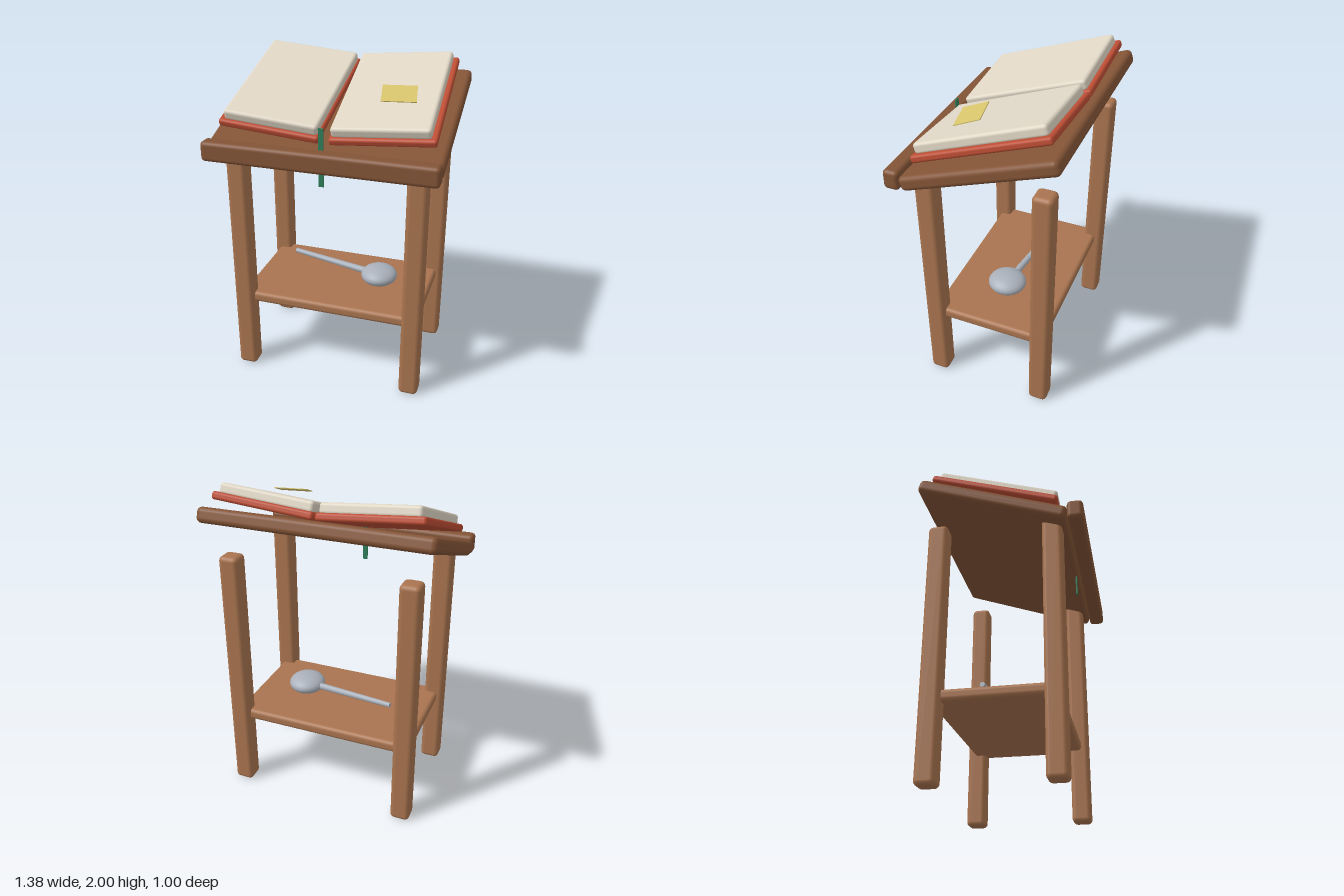
import * as THREE from 'three';
import { RoundedBoxGeometry } from 'three/addons/geometries/RoundedBoxGeometry.js';

const mat = (name, color) => {
  const m = new THREE.MeshStandardMaterial({ color });
  m.name = name;
  return m;
};

export function createModel() {
  const model = new THREE.Group();
  model.name = 'readingStand';

  const wood = mat('light wood', 0xa9744f);
  const darkWood = mat('dark wood', 0x835436);
  const leather = mat('red cover', 0xbc4d34);
  const paper = mat('paper', 0xded5c4);
  const noteYellow = mat('note yellow', 0xd6c46c);
  const green = mat('ribbon green', 0x2f7d59);
  const metal = mat('metal', 0xa9b0ba);

  const add = (name, geometry, material, x, y, z, parent = model) => {
    const mesh = new THREE.Mesh(geometry, material);
    mesh.name = name;
    mesh.position.set(x, y, z);
    parent.add(mesh);
    return mesh;
  };
  const rounded = (w, h, d, r) => new RoundedBoxGeometry(w, h, d, 3, r);

  const tilt = THREE.MathUtils.degToRad(20);
  const fold = THREE.MathUtils.degToRad(4.8);

  // Four legs; the front pair ends inside the sloping board
  for (const side of [-1, 1]) {
    add('frontLeg', rounded(0.12, 1.55, 0.12, 0.028), wood, side * 0.545, 0.775, 0.31);
    add('backLeg', rounded(0.12, 1.585, 0.12, 0.028), wood, side * 0.545, 0.7925, -0.38);
  }

  // Lower shelf, sunk into the legs
  add('shelf', rounded(1.14, 0.07, 0.72, 0.025), wood, 0, 0.5, -0.035);

  // Sloping board and the lip that holds the book
  add('board', rounded(1.38, 0.09, 0.955, 0.03), darkWood, 0, 1.682, -0.043).rotation.x = tilt;
  add('lip', rounded(1.38, 0.12, 0.095, 0.025), darkWood, 0, 1.536, 0.457);

  // Open book: two mirrored halves, outer edges raised
  for (const side of [-1, 1]) {
    const half = new THREE.Group();
    half.name = side > 0 ? 'leftBookHalf' : 'rightBookHalf';
    half.position.set(side * 0.322, 1.78, -0.04);
    half.rotation.set(tilt, 0, side * fold, 'ZXY');
    add('cover', rounded(0.61, 0.045, 0.83, 0.016), leather, 0, 0, 0, half);
    add('pages', rounded(0.568, 0.066, 0.785, 0.02), paper, side * -0.008, 0.046, 0, half);
    model.add(half);
  }

  // Loose note above the page
  const note = add('note', new THREE.BoxGeometry(0.198, 0.005, 0.155), noteYellow, 0.37, 1.858, 0.109);
  note.rotation.set(tilt, THREE.MathUtils.degToRad(10.2), 0, 'YXZ');

  // Bookmark ribbon hanging past the lip
  add('ribbon', new THREE.BoxGeometry(0.03, 0.345, 0.009), green, 0, 1.533, 0.385);

  // Spoon lying on the shelf
  const spoon = new THREE.Group();
  spoon.name = 'spoon';
  const bowl = add('spoonBowl', new THREE.SphereGeometry(1, 24, 16), metal, 0.245, 0.6, -0.034, spoon);
  bowl.scale.set(0.117, 0.06, 0.121);
  const start = new THREE.Vector3(0.2, 0.598, -0.045);
  const end = new THREE.Vector3(-0.37, 0.626, -0.14);
  const along = end.clone().sub(start);
  const middle = start.clone().add(end).multiplyScalar(0.5);
  const handle = add('spoonHandle', new THREE.CylinderGeometry(0.016, 0.023, along.length(), 12), metal,
    middle.x, middle.y, middle.z, spoon);
  handle.quaternion.setFromUnitVectors(new THREE.Vector3(0, 1, 0), along.normalize());
  model.add(spoon);

  return model;
}
